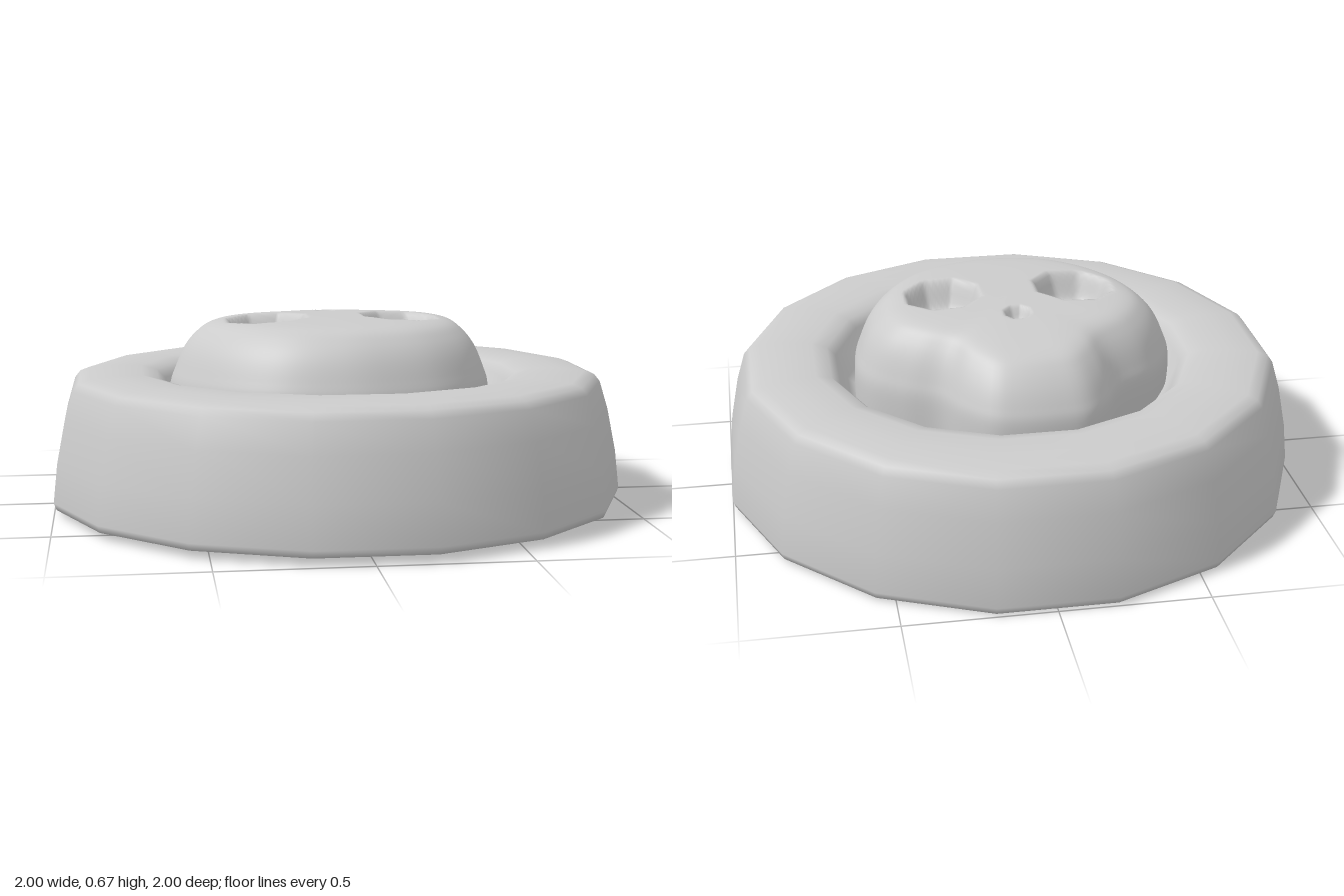
import * as THREE from 'three';

const material = new THREE.MeshStandardMaterial({ color: 0xcccccc });
const smooth = THREE.MathUtils.smoothstep;

// Faceted round dish with a sunken well, radius and height pairs
function makeDish() {
  const profile = [
    [0, 0.012], [0.97, 0.013], [1.01, 0.02], [1.02, 0.045], [1.005, 0.18], [0.975, 0.33],
    [0.945, 0.43], [0.925, 0.455], [0.89, 0.468], [0.8, 0.476], [0.7, 0.475],
    [0.645, 0.46], [0.615, 0.43], [0.575, 0.34], [0.53, 0.3], [0, 0.3],
  ].map(([r, y]) => new THREE.Vector2(r, y));
  return new THREE.LatheGeometry(profile, 16, Math.PI / 16);
}

// Skull outline seen from above (x, z), jaw towards the back
const outline = [
  [-0.2, -0.5], [-0.1, -0.52], [0.05, -0.52], [0.13, -0.5], [0.22, -0.41], [0.28, -0.31],
  [0.4, -0.24], [0.5, -0.15], [0.54, -0.05], [0.54, 0.05], [0.52, 0.18], [0.44, 0.34],
  [0.3, 0.47], [0.1, 0.54], [-0.05, 0.55], [-0.25, 0.51], [-0.41, 0.4], [-0.54, 0.22],
  [-0.59, 0.03], [-0.56, -0.1], [-0.48, -0.22], [-0.34, -0.32], [-0.28, -0.42],
];

// Sockets: centre, outer radius, floor radius, depth
const pits = [
  { x: -0.25, z: 0.08, r: 0.14, floor: 0.085, depth: 0.1 },
  { x: 0.22, z: 0.07, r: 0.135, floor: 0.08, depth: 0.1 },
  { x: -0.015, z: -0.13, r: 0.05, floor: 0.015, depth: 0.05 },
];

// Distance measured so that equal values form an octagon
function octagonDistance(x, z) {
  const a = Math.abs(x), b = Math.abs(z);
  return Math.max(a, b, (a + b) * Math.SQRT1_2);
}

function pitDepth(x, z) {
  return pits.reduce((sum, p) => {
    const d = octagonDistance(x - p.x, z - p.z);
    return sum + p.depth * (1 - smooth(d, p.floor, p.r));
  }, 0);
}

// Domed skull: the outline shrinks ring by ring towards the crown
function makeSkull() {
  const sides = 128, rings = 72;
  const edge = new THREE.CatmullRomCurve3(
    outline.map(([x, z]) => new THREE.Vector3(x, 0, z)), true).getSpacedPoints(sides);
  const dome = new THREE.SplineCurve([
    [1, 0.28], [1, 0.42], [0.965, 0.49], [0.91, 0.56], [0.84, 0.61], [0.75, 0.645],
    [0.6, 0.66], [0.3, 0.668], [0, 0.67],
  ].map(([s, y]) => new THREE.Vector2(s, y))).getSpacedPoints(rings);

  const positions = [], index = [];
  dome.forEach(({ x: s, y }) => {
    for (let i = 0; i < sides; i++) {
      const x = edge[i].x * s, z = edge[i].z * s;
      const jawDrop = 0.03 * smooth(-z, 0.1, 0.42) * smooth(y, 0.42, 0.6);
      positions.push(x, y - jawDrop - pitDepth(x, z), z);
    }
  });
  for (let j = 0; j < rings; j++) {
    for (let i = 0; i < sides; i++) {
      const a = j * sides + i, b = j * sides + (i + 1) % sides;
      index.push(b, a, a + sides);
      if (j < rings - 1) index.push(b, a + sides, b + sides);
    }
  }
  const geometry = new THREE.BufferGeometry();
  geometry.setAttribute('position', new THREE.Float32BufferAttribute(positions, 3));
  geometry.setIndex(index);
  geometry.computeVertexNormals();
  return geometry;
}

export function createModel() {
  const model = new THREE.Group();
  const add = (name, geometry) => {
    const mesh = new THREE.Mesh(geometry, material);
    mesh.name = name;
    model.add(mesh);
  };
  add('dish', makeDish());
  add('skull', makeSkull());

  // The whole piece leans back very slightly
  const tilted = new THREE.Group();
  tilted.name = 'skullDish';
  model.rotation.x = -0.011;
  tilted.add(model);
  return tilted;
}
